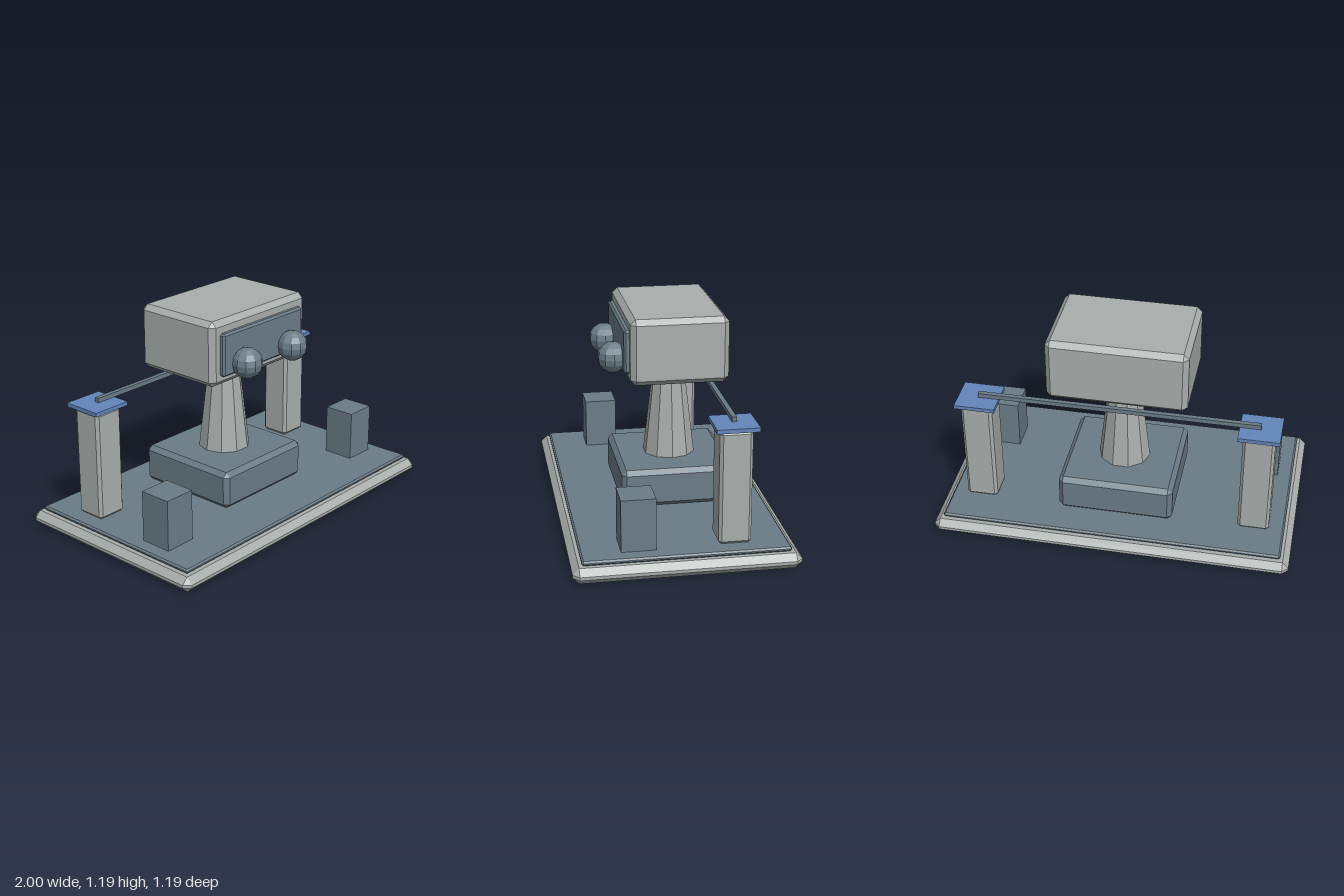
import * as THREE from 'three';
import { ConvexGeometry } from 'three/addons/geometries/ConvexGeometry.js';

const material = (name, color) => {
  const m = new THREE.MeshStandardMaterial({ color, flatShading: true });
  m.name = name;
  return m;
};

// Box with equal chamfers on every edge, as the hull of its 24 corners
function chamferBox(w, h, d, b) {
  const x = w / 2, y = h / 2, z = d / 2, points = [];
  for (const i of [-1, 1]) for (const j of [-1, 1]) for (const k of [-1, 1]) {
    points.push(
      new THREE.Vector3(i * x, j * (y - b), k * (z - b)),
      new THREE.Vector3(i * (x - b), j * y, k * (z - b)),
      new THREE.Vector3(i * (x - b), j * (y - b), k * z));
  }
  return new ConvexGeometry(points);
}

export function createModel() {
  const grey = material('light grey', 0xa9aeac);
  const slate = material('slate', 0x6b7c87);
  const blue = material('blue', 0x6386bb);
  const group = new THREE.Group();

  const add = (name, geometry, mat, x, y, z) => {
    const mesh = new THREE.Mesh(geometry, mat);
    mesh.name = name;
    mesh.position.set(x, y, z);
    group.add(mesh);
    return mesh;
  };
  // Box from its lower and upper limits in y and z, chamfered when b > 0
  const block = (name, mat, x, w, [y0, y1], [z0, z1], b = 0) => {
    const h = y1 - y0, d = z1 - z0;
    const geometry = b ? chamferBox(w, h, d, b) : new THREE.BoxGeometry(w, h, d);
    return add(name, geometry, mat, x, (y0 + y1) / 2, (z0 + z1) / 2);
  };

  // Base and deck
  block('base', grey, 0, 2, [0, 0.085], [-0.595, 0.595], 0.034);
  block('deck', slate, 0, 1.9, [0.085, 0.11], [-0.545, 0.545], 0.009);

  // Pedestal and tapered neck
  block('pedestal', slate, 0, 0.645, [0.11, 0.323], [-0.373, 0.25], 0.026);
  const neck = add('neck', new THREE.CylinderGeometry(0.085, 0.147, 0.53, 10), grey, 0, 0.575, -0.06);
  neck.rotation.y = Math.PI / 2;

  // Head with face panel
  block('head', grey, 0, 0.77, [0.83, 1.192], [-0.325, 0.207], 0.029);
  block('facePanel', slate, 0, 0.65, [0.885, 1.125], [0.18, 0.235], 0.011);

  // Rail across the rear posts
  block('rail', slate, 0, 1.56, [0.752, 0.777], [-0.277, -0.251]);

  for (const [side, s] of [['left', 1], ['right', -1]]) {
    add(side + 'Eye', new THREE.SphereGeometry(0.085, 10, 8), slate, s * 0.188, 0.945, 0.278);
    block(side + 'Post', grey, s * 0.777, 0.175, [0.11, 0.728], [-0.348, -0.175], 0.016);
    block(side + 'PostCap', blue, s * 0.777, 0.226, [0.73, 0.752], [-0.376, -0.151]);
    block(side + 'FrontBlock', slate, s * 0.777, 0.182, [0.11, 0.394], [0.152, 0.335]);
  }
  return group;
}
